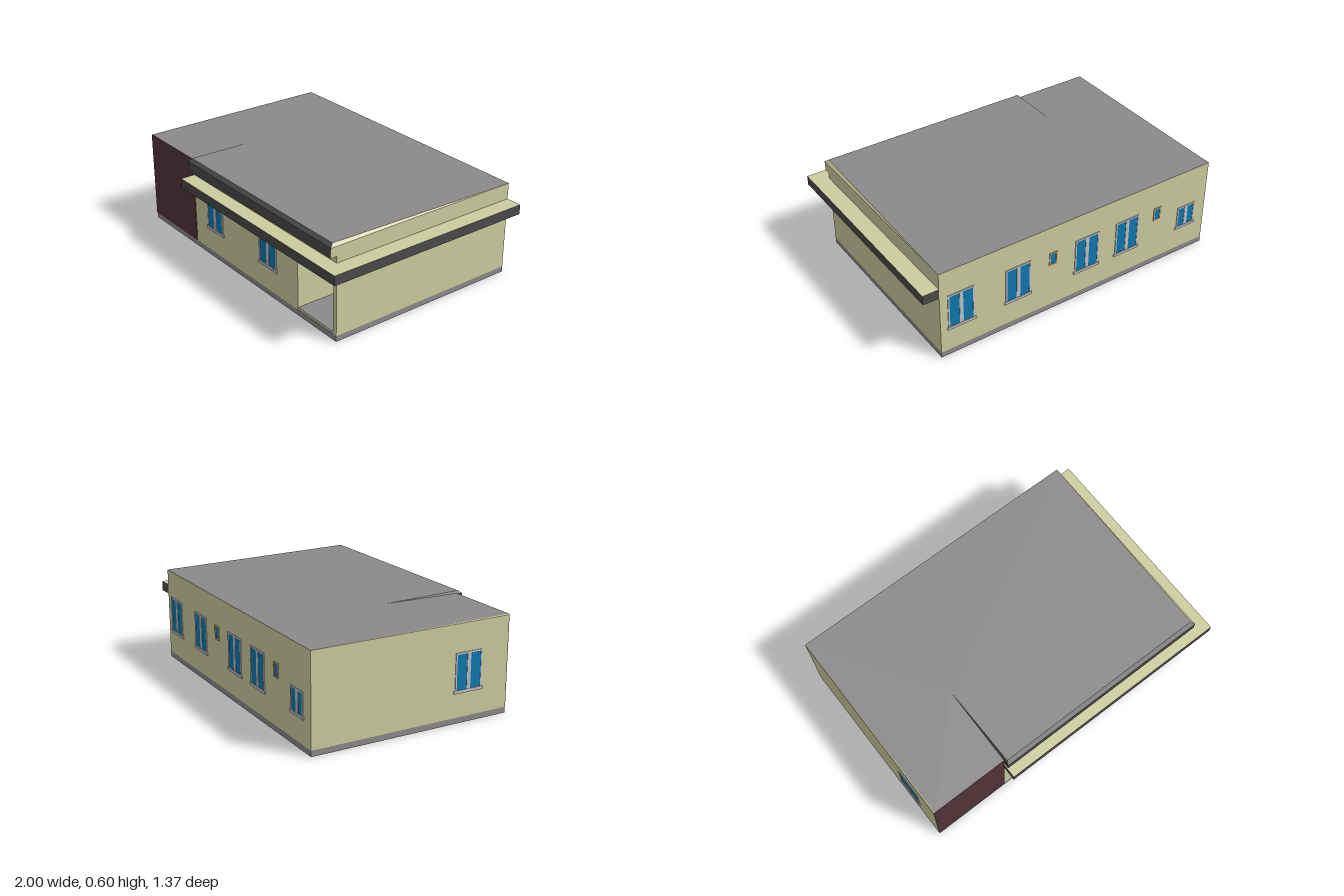
import * as THREE from 'three';

const mat = (name, color) => {
  const m = new THREE.MeshStandardMaterial({ color });
  m.name = name;
  return m;
};

export function createModel() {
  const cream = mat('cream plaster', 0xcbcc9e);
  const grey = mat('roof grey', 0x8b8989);
  const dark = mat('dark fascia', 0x4a4a4a);
  const maroon = mat('maroon', 0x52343a);
  const tan = mat('door tan', 0xcb9a78);
  const blue = mat('glass blue', 0x0f78ae);
  const pale = mat('frame grey', 0xc0c0c6);

  const house = new THREE.Group();
  house.name = 'house';

  const add = (parent, name, geo, material, x = 0, y = 0, z = 0) => {
    const m = new THREE.Mesh(geo, material);
    m.name = name;
    m.position.set(x, y, z);
    parent.add(m);
    return m;
  };
  // Box given by its limits
  const box = (parent, name, material, x0, x1, y0, y1, z0, z1) =>
    add(parent, name, new THREE.BoxGeometry(x1 - x0, y1 - y0, z1 - z0), material,
      (x0 + x1) / 2, (y0 + y1) / 2, (z0 + z1) / 2);
  // Plan outline of [x, z] points raised from y0 to y1
  const slab = (name, plan, y0, y1, material) => {
    const shape = new THREE.Shape(plan.map(([x, z]) => new THREE.Vector2(x, -z)));
    const geo = new THREE.ExtrudeGeometry(shape, { depth: y1 - y0, bevelEnabled: false });
    geo.rotateX(-Math.PI / 2);
    return add(house, name, geo, material, 0, y0, 0);
  };
  // Flat polygons, each fanned from its first corner
  const faces = (name, material, ...polys) => {
    const pos = [];
    for (const p of polys)
      for (let i = 1; i < p.length - 1; i++) pos.push(...p[0], ...p[i], ...p[i + 1]);
    const geo = new THREE.BufferGeometry();
    geo.setAttribute('position', new THREE.Float32BufferAttribute(pos, 3));
    geo.computeVertexNormals();
    return add(house, name, geo, material);
  };

  const X0 = -0.995, X1 = 0.9, Z0 = -0.68, Z1 = 0.587;
  const porchL = 0.555, porchR = 0.872, porchZ = 0.29;

  // Plinth, walls with porch recess, and the band above it
  box(house, 'plinth', grey, X0, X1, 0, 0.035, Z0, Z1);
  slab('walls', [[X0, Z0], [X1, Z0], [X1, Z1], [porchR, Z1], [porchR, porchZ],
    [porchL, porchZ], [porchL, Z1], [X0, Z1]], 0.035, 0.425, cream);
  box(house, 'upperWalls', cream, X0, X1, 0.425, 0.585, Z0, Z1);
  box(house, 'porchStep', [cream, cream, grey, cream, cream, cream],
    porchL, porchR, 0.035, 0.05, porchZ, Z1 - 0.002);
  box(house, 'maroonFrontPanel', maroon, X0, -0.5, 0.035, 0.586, Z1, Z1 + 0.003);

  // Canopy wrapping the front and the left side
  slab('canopy', [[-0.5, Z1], [X1, Z1], [X1, Z0], [1, Z0], [1, 0.68], [-0.5, 0.68]],
    0.425, 0.485, [cream, dark]);

  // Overhanging front fascia
  box(house, 'frontFascia', [cream, dark, cream, cream, dark, cream],
    -0.5, X1, 0.525, 0.585, 0.58, 0.627);

  // Gently rising roof with a step between its two halves
  const A = [X0, 0.585, Z0], B = [X1, 0.585, Z0], C = [X0, 0.585, Z1 + 0.003];
  const L = [-0.988, 0.589, Z1 + 0.003], M = [-0.5, 0.589, Z1 + 0.003];
  const D = [-0.5, 0.585, Z1 + 0.003];
  const V = [-0.495, 0.595, 0.08], U = [-0.488, 0.602, 0.603], R = [0.883, 0.602, 0.603];
  const P = [-0.5, 0.585, 0.627], Q = [X1, 0.585, 0.627];
  faces('roof', grey, [V, U, R, B, A], [V, A, L, M]);
  faces('roofFrontEdge', dark, [P, Q, R, U], [V, M, P, U]);
  faces('roofSideEdges', cream, [Q, B, R], [A, C, L]);
  faces('roofMaroonEdge', maroon, [C, D, M, L]);

  // Windows: frame with openings, glass and sill, facing +z, base at y = 0
  const win = (name, x, y, z, turn, w, h, panes, frameMat, edge) => {
    const g = new THREE.Group();
    g.name = name;
    const rect = (S, x0, x1, y0, y1) => {
      const s = new S();
      s.moveTo(x0, y0).lineTo(x1, y0).lineTo(x1, y1).lineTo(x0, y1).closePath();
      return s;
    };
    const shape = rect(THREE.Shape, -w / 2, w / 2, 0, h);
    const bar = 0.024, pw = (w - 2 * edge - (panes - 1) * bar) / panes;
    for (let i = 0; i < panes; i++) {
      const px = -w / 2 + edge + i * (pw + bar);
      shape.holes.push(rect(THREE.Path, px, px + pw, edge, h - edge));
    }
    add(g, 'windowFrame', new THREE.ExtrudeGeometry(shape, { depth: 0.004, bevelEnabled: false }), frameMat);
    box(g, 'glass', blue, -w / 2 + 0.004, w / 2 - 0.004, 0.004, h - 0.004, 0, 0.002);
    if (panes > 1) box(g, 'sill', pale, -w / 2 - 0.008, w / 2 + 0.008, -0.006, 0.012, 0, 0.006);
    g.position.set(x, y, z);
    g.rotation.y = turn;
    house.add(g);
  };
  for (const x of [-0.28, 0.27]) win('frontWindow', x, 0.185, Z1, 0, 0.17, 0.232, 2, pale, 0.01);
  for (const x of [-0.385, -0.09, 0.39, 0.765])
    win('backWindow', x, 0.185, Z0, Math.PI, 0.17, 0.232, 2, pale, 0.01);
  win('smallBackWindow', -0.845, 0.185, Z0, Math.PI, 0.135, 0.15, 2, pale, 0.01);
  for (const x of [0.15, -0.612]) win('ventWindow', x, 0.32, Z0, Math.PI, 0.055, 0.088, 1, tan, 0.009);
  win('sideWindow', X0, 0.185, 0.32, -Math.PI / 2, 0.18, 0.232, 2, pale, 0.01);

  // Front door with an arched, divided light
  const door = new THREE.Group();
  door.name = 'frontDoor';
  door.position.set(0.658, 0.05, porchZ);
  house.add(door);
  box(door, 'doorFrame', maroon, -0.083, 0.083, 0, 0.342, 0, 0.006);
  box(door, 'doorLeaf', tan, -0.072, 0.072, 0, 0.331, 0, 0.009);
  const arch = new THREE.Shape();
  arch.moveTo(-0.052, 0.22).lineTo(0.052, 0.22).lineTo(0.052, 0.272);
  arch.absellipse(0, 0.272, 0.052, 0.043, 0, Math.PI, false);
  add(door, 'archedGlass', new THREE.ShapeGeometry(arch, 12), blue, 0, 0, 0.0105);
  for (const x of [-0.019, 0.019])
    box(door, 'glazingBar', tan, x - 0.003, x + 0.003, 0.22, 0.316, 0.009, 0.012);
  box(door, 'glazingBar', tan, -0.053, 0.053, 0.265, 0.271, 0.009, 0.012);

  return house;
}
